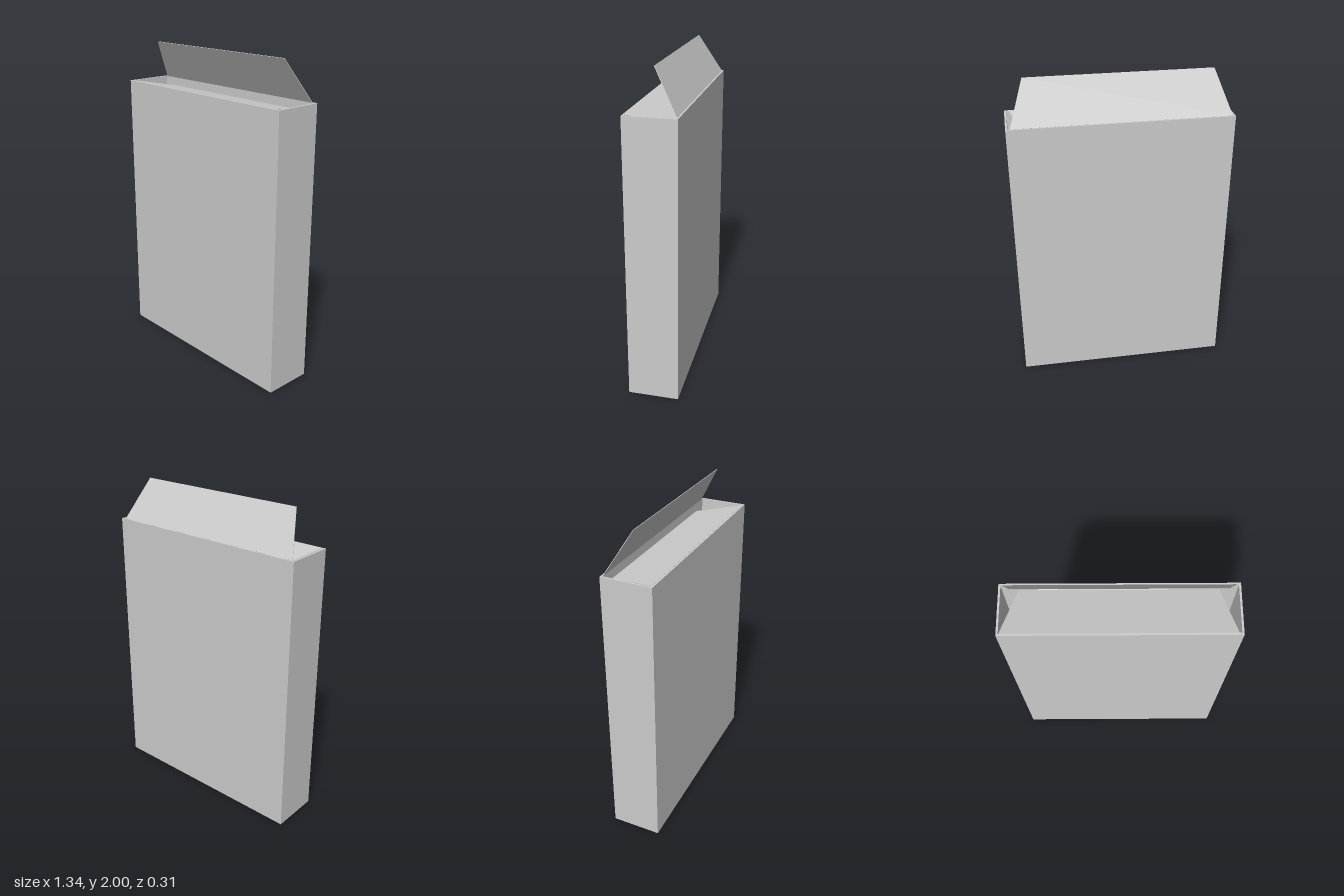
import * as THREE from 'three';

const W = 1.342, H = 1.75, D = 0.31; // carton size
const T = 0.012;                     // wall thickness
const material = new THREE.MeshStandardMaterial({ color: 0xcccccc, flatShading: true, side: THREE.DoubleSide });

function part(name, geometry) {
  const mesh = new THREE.Mesh(geometry, material);
  mesh.name = name;
  return mesh;
}

function rectangle(PathType, w, d) {
  return new PathType([[-w, -d], [w, -d], [w, d], [-w, d]].map(([x, y]) => new THREE.Vector2(x / 2, y / 2)));
}

// Tapered flap hinged along its lower edge, running from the hinge by (dy, dz)
function flap(name, z, dy, dz) {
  const length = Math.hypot(dy, dz), base = 0.65, tip = 0.561, thick = 0.003;
  const shape = new THREE.Shape([
    new THREE.Vector2(-base, 0), new THREE.Vector2(base, 0),
    new THREE.Vector2(tip, length), new THREE.Vector2(-tip, length),
  ]);
  const geometry = new THREE.ExtrudeGeometry(shape, { depth: thick, bevelEnabled: false });
  geometry.translate(0, 0, -thick / 2);
  const mesh = part(name, geometry);
  mesh.position.set(-0.005, H, z);
  mesh.rotation.x = Math.atan2(dz, dy);
  return mesh;
}

export function createModel() {
  const model = new THREE.Group();
  model.name = 'openCarton';

  // Four walls as one hollow sleeve
  const outline = rectangle(THREE.Shape, W, D);
  outline.holes.push(rectangle(THREE.Path, W - 2 * T, D - 2 * T));
  const sleeve = new THREE.ExtrudeGeometry(outline, { depth: H, bevelEnabled: false });
  sleeve.rotateX(-Math.PI / 2);
  model.add(part('walls', sleeve));

  // Closed bottom, fitted between the walls
  const bottom = part('bottom', new THREE.BoxGeometry(W - 2 * T, T, D - 2 * T));
  bottom.position.y = T / 2;
  model.add(bottom);

  // Raised back flap and front flap tucked down into the opening
  model.add(flap('backFlap', -0.144, 0.249, 0.144));
  model.add(flap('frontFlap', 0.143, -0.055, -0.284));
  return model;
}
